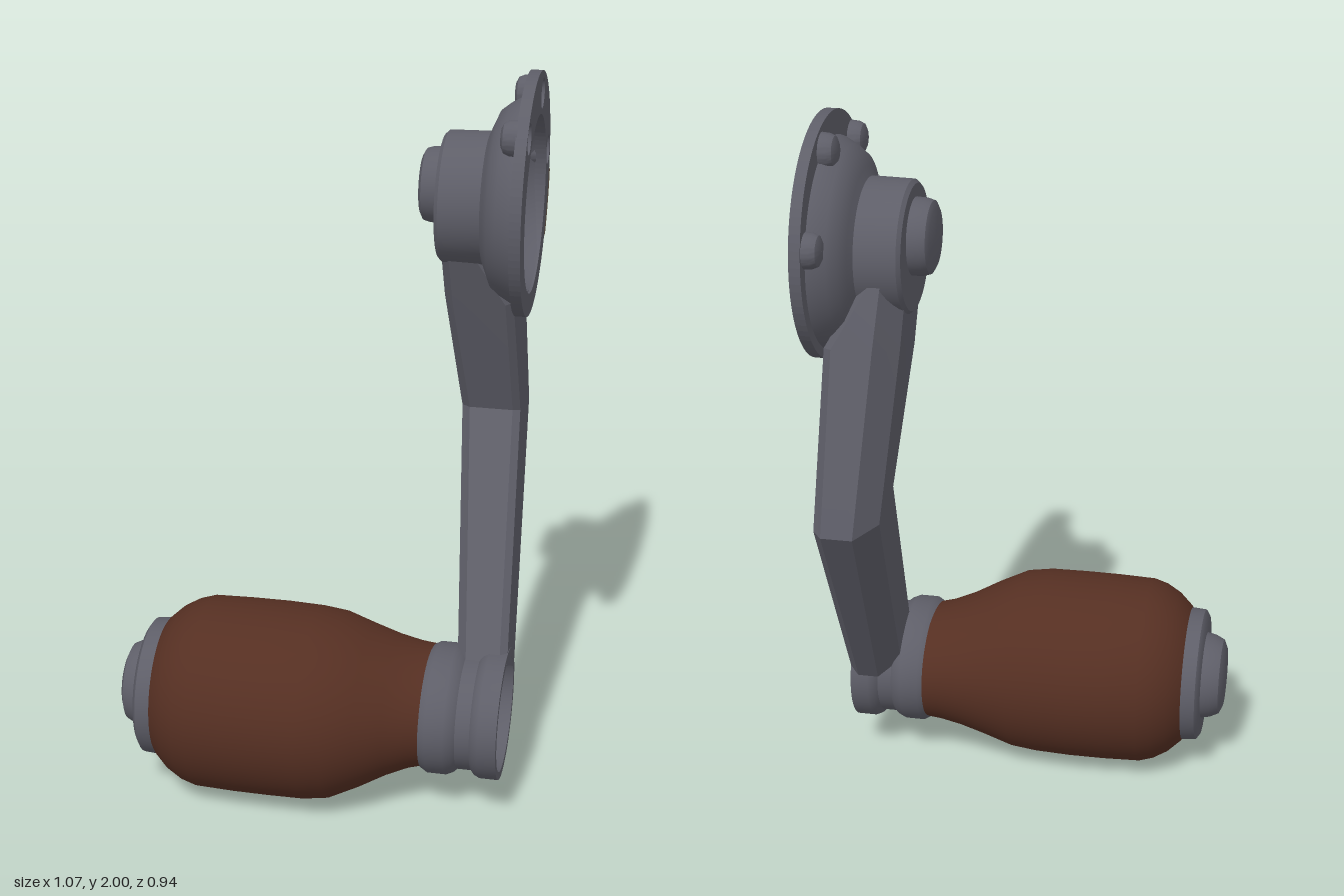
import * as THREE from 'three';
import { toCreasedNormals } from 'three/addons/utils/BufferGeometryUtils.js';

const metal = new THREE.MeshStandardMaterial({ color: 0x5e5e68 });
metal.name = 'gunmetal grey';
const wood = new THREE.MeshStandardMaterial({ color: 0x552f22 });
wood.name = 'brown grip';
const worn = new THREE.MeshStandardMaterial({ color: 0x6b5f52 });
worn.name = 'worn tan';

// skin a list of closed rings, each an array of [x, y, z]
function skin(rings, crease) {
  const n = rings[0].length, index = [];
  for (let i = 0; i < rings.length - 1; i++) {
    for (let j = 0; j < n; j++) {
      const a = i * n + j, b = i * n + (j + 1) % n;
      index.push(a, b, a + n, b, b + n, a + n);
    }
  }
  const g = new THREE.BufferGeometry();
  g.setAttribute('position', new THREE.Float32BufferAttribute(rings.flat(2), 3));
  g.setIndex(index);
  return toCreasedNormals(g, crease);
}

export function createModel() {
  const model = new THREE.Group();
  const add = (name, geometry, material) => {
    const mesh = new THREE.Mesh(geometry, material);
    mesh.name = name;
    model.add(mesh);
    return mesh;
  };

  // round part along x; sections are [x, radiusY, radiusZ, shiftZ]
  const round = (name, cy, cz, sections, material = metal) => {
    const rings = sections.map(([x, ry, rz = ry, dz = 0]) =>
      Array.from({ length: 56 }, (_, j) => {
        const a = (j / 56) * Math.PI * 2;
        return [x, cy + Math.cos(a) * Math.max(ry, 0.001), cz + dz + Math.sin(a) * Math.max(rz, 0.001)];
      }));
    return add(name, skin(rings, 0.6), material);
  };

  // grip, narrowing off-centre towards the arm
  round('grip', 0.273, 0.19, [
    [-0.43, 0.185], [-0.42, 0.2], [-0.385, 0.233], [-0.345, 0.256], [-0.305, 0.268], [-0.2, 0.269, 0.278],
    [-0.1, 0.269, 0.28], [0, 0.267, 0.277, 0.002], [0.07, 0.257, 0.27, 0], [0.15, 0.222, 0.244, -0.012],
    [0.22, 0.19, 0.217, -0.03], [0.28, 0.17, 0.198, -0.044], [0.32, 0.163, 0.19, -0.05],
  ], wood);

  // end cap and its button
  round('gripCap', 0.273, 0.19, [
    [-0.475, 0], [-0.475, 0.175], [-0.465, 0.19], [-0.425, 0.193], [-0.415, 0.185],
  ]);
  round('capButton', 0.275, 0.185, [
    [-0.535, 0], [-0.535, 0.085], [-0.525, 0.108], [-0.5, 0.12], [-0.475, 0.125],
  ]);

  // grooved collar with an open cup on the far side
  round('collar', 0.27, 0.145, [
    [0.31, 0.15], [0.315, 0.165], [0.335, 0.177], [0.385, 0.177], [0.405, 0.168], [0.415, 0.158], [0.455, 0.158],
    [0.465, 0.17], [0.48, 0.177], [0.53, 0.177], [0.53, 0.155], [0.43, 0.148], [0.41, 0.135], [0.41, 0],
  ].map(([x, r]) => [x, r, r ? r + 0.022 : 0]));
  round('cupFloor', 0.27, 0.185, [[0.4, 0.135], [0.425, 0.13], [0.435, 0.118], [0.425, 0.112], [0.425, 0]]);

  // bent arm: chamfered section; p and q are the [z, y] ends across the width
  const section = (p, q, xl, xr) => [
    [xr, 0.06], [xr, 0.9], [xr - 0.025, 1], [xl + 0.055, 1], [xl, 0.72], [xl, 0.12], [xl + 0.025, 0], [xr - 0.02, 0],
  ].map(([x, t]) => [x, p[1] + (q[1] - p[1]) * t, p[0] + (q[0] - p[0]) * t]);
  const squash = (ring) => {
    const c = [0, 1, 2].map((k) => ring.reduce((s, v) => s + v[k], 0) / ring.length);
    return ring.map(() => c);
  };
  const stations = [
    section([0.15, 0.425], [-0.055, 0.31], 0.392, 0.53),
    section([-0.21, 1.03], [-0.47, 0.97], 0.335, 0.5),
    section([-0.085, 1.38], [-0.35, 1.45], 0.297, 0.485),
    section([-0.01, 1.6], [-0.275, 1.67], 0.287, 0.36),
  ];
  add('arm', skin([squash(stations[0]), ...stations, squash(stations[3])], 0.25), metal);

  // hub shell flaring into the flange, hollow on the flange side
  round('hub', 1.66, -0.13, [
    [0.285, 0], [0.285, 0.165], [0.295, 0.175], [0.405, 0.177], [0.415, 0.2], [0.43, 0.235], [0.455, 0.255],
    [0.49, 0.275], [0.51, 0.28], [0.525, 0.238], [0.48, 0.225], [0.44, 0.2], [0.415, 0.18], [0.37, 0.172], [0.37, 0],
  ]);
  round('hubButton', 1.69, -0.13, [
    [0.23, 0], [0.23, 0.08], [0.238, 0.095], [0.255, 0.1], [0.29, 0.102],
  ]);
  round('hubBoss', 1.69, -0.125, [
    [0.36, 0.11], [0.385, 0.105], [0.39, 0.098], [0.38, 0.09], [0.38, 0],
  ]);

  // flange plate with a central opening and three rivet dimples
  const dimples = [[-0.195, 0.2], [0.085, 0.25], [0.268, 0.05]];
  const plate = new THREE.Shape().absarc(0, 0, 0.322, 0, Math.PI * 2);
  const cut = (x, y, r) => plate.holes.push(new THREE.Path().absarc(x, y, r, 0, Math.PI * 2, true));
  cut(0, -0.027, 0.235);
  dimples.forEach(([x, y]) => cut(x, y, 0.04));
  const flange = add('flange', new THREE.ExtrudeGeometry(plate, {
    depth: 0.03, bevelEnabled: false, curveSegments: 48,
  }), metal);
  flange.rotation.y = Math.PI / 2;
  flange.position.set(0.5, 1.68, -0.125);

  // rivet cups standing out behind the flange
  const shell = metal.clone();
  shell.name = 'gunmetal grey shell';
  shell.side = THREE.DoubleSide;
  dimples.forEach(([x, y], i) => round('rivetCup' + (i + 1), 1.68 + y, -0.125 - x, [
    [0.458, 0], [0.459, 0.025], [0.466, 0.039], [0.48, 0.045], [0.503, 0.047],
  ], shell));

  // worn crescent on the flange rim
  const patch = add('wornRim', new THREE.RingGeometry(0.29, 0.321, 24, 1, -0.65, 0.6), worn);
  patch.rotation.y = Math.PI / 2;
  patch.position.set(0.532, 1.68, -0.125);

  return model;
}
